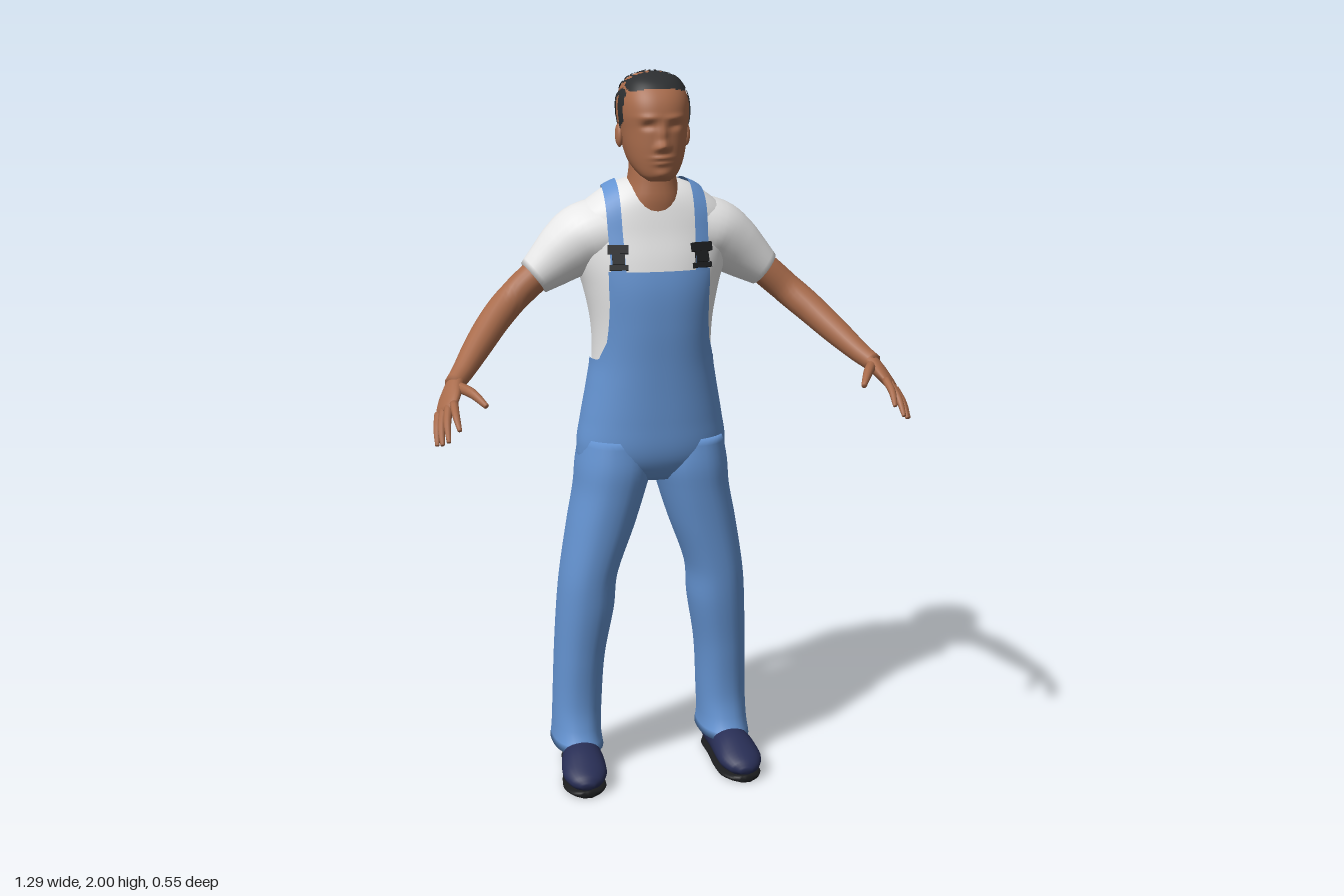
import * as THREE from 'three';

const mat = (name, color) => Object.assign(new THREE.MeshStandardMaterial({ color }), { name });
const V = (x, y, z) => new THREE.Vector3(x, y, z);

// Smooth interpolation of table rows [key, a, b, ...] at a key.
function sample(rows, k) {
  const n = rows.length - 1;
  k = Math.min(Math.max(k, rows[0][0]), rows[n][0]);
  let i = 0;
  while (i < n - 1 && k > rows[i + 1][0]) i++;
  const h = rows[i + 1][0] - rows[i][0], t = (k - rows[i][0]) / h;
  const slope = (j, c) => {
    const a = rows[Math.max(j - 1, 0)], b = rows[Math.min(j + 1, n)];
    return (b[c] - a[c]) / (b[0] - a[0]);
  };
  return rows[i].slice(1).map((v, q) => {
    const c = q + 1, t2 = t * t, t3 = t2 * t;
    return v * (2 * t3 - 3 * t2 + 1) + rows[i + 1][c] * (3 * t2 - 2 * t3) +
      h * (slope(i, c) * (t3 - 2 * t2 + t) + slope(i + 1, c) * (t3 - t2));
  });
}

// Skin a list of closed rings; optional caps and a face filter on the quad centre.
function loft(rings, { bottom = true, top = true, keep } = {}) {
  const m = rings[0].length, pos = [], idx = [];
  rings.forEach(r => r.forEach(p => pos.push(p.x, p.y, p.z)));
  for (let i = 0; i < rings.length - 1; i++) for (let j = 0; j < m; j++) {
    const k = (j + 1) % m, a = i * m + j, b = i * m + k, c = b + m, d = a + m;
    if (keep && !keep(rings[i][j].clone().add(rings[i + 1][k]).multiplyScalar(0.5))) continue;
    idx.push(a, b, c, a, c, d);
  }
  const cap = (r, up) => {
    const c = r.reduce((s, p) => s.add(p), V(0, 0, 0)).divideScalar(m), o = pos.length / 3;
    const base = up ? (rings.length - 1) * m : 0;
    pos.push(c.x, c.y, c.z);
    for (let j = 0; j < m; j++) {
      const k = (j + 1) % m;
      idx.push(o, base + (up ? j : k), base + (up ? k : j));
    }
  };
  if (bottom) cap(rings[0], false);
  if (top) cap(rings[rings.length - 1], true);
  return finish(pos, idx);
}
function finish(pos, idx) {
  const g = new THREE.BufferGeometry();
  g.setAttribute('position', new THREE.Float32BufferAttribute(pos, 3));
  g.setIndex(idx);
  g.computeVertexNormals();
  return g;
}
function mirrored(geo) {
  const g = geo.clone().scale(-1, 1, 1), a = g.index.array;
  for (let i = 0; i < a.length; i += 3) [a[i], a[i + 1]] = [a[i + 1], a[i]];
  g.computeVertexNormals();
  return g;
}

// Point on a horizontal superellipse section.
const POW = 2.3;
function section(xc, w, front, back, th, y) {
  const f = v => Math.sign(v) * Math.abs(v) ** (2 / POW);
  return V(xc + w * f(Math.sin(th)), y, (front + back) / 2 + (front - back) / 2 * f(Math.cos(th)));
}
const around = (m, fn) => Array.from({ length: m }, (_, j) => fn(j / m * Math.PI * 2));
const levels = (n, a, b) => Array.from({ length: n + 1 }, (_, i) => a + (b - a) * i / n);

// Tube through stations [x, y, z, radius along ref, radius across].
function limb(st, ref = V(0, 1, 0), m = 20, sub = 4) {
  const curve = new THREE.CatmullRomCurve3(st.map(s => V(s[0], s[1], s[2])));
  const rad = st.map((s, i) => [i, s[3], s[4] ?? s[3]]), n = st.length - 1;
  return loft(levels(n * sub, 0, 1).map(t => {
    const c = curve.getPoint(t), d = curve.getTangent(t), [a, b] = sample(rad, t * n);
    const u = ref.clone().addScaledVector(d, -ref.dot(d)).normalize(), v = d.clone().cross(u);
    return around(m, th => c.clone().addScaledVector(u, a * Math.cos(th)).addScaledVector(v, b * Math.sin(th)));
  }));
}

// Body profiles: [height, half width, front z, back z]
const TORSO = [[0.88, 0.10, -0.03, -0.19], [0.92, 0.19, 0.005, -0.238], [0.97, 0.204, 0.022, -0.246], [1.05, 0.193, 0.026, -0.246],
  [1.15, 0.175, 0.028, -0.24], [1.22, 0.165, 0.03, -0.24], [1.32, 0.168, 0.034, -0.25], [1.42, 0.188, 0.032, -0.266],
  [1.50, 0.213, 0.018, -0.271], [1.57, 0.225, -0.002, -0.26], [1.62, 0.212, -0.014, -0.245], [1.66, 0.165, -0.026, -0.225],
  [1.69, 0.12, -0.045, -0.20], [1.71, 0.07, -0.07, -0.17]];
const LEG = [[0.08, 0.073, -0.005, -0.26, 0.218], [0.12, 0.069, -0.03, -0.245, 0.218], [0.2, 0.069, -0.045, -0.235, 0.215],
  [0.35, 0.071, -0.032, -0.232, 0.208], [0.5, 0.08, -0.01, -0.226, 0.192], [0.6, 0.08, 0, -0.222, 0.183],
  [0.75, 0.094, 0.012, -0.235, 0.145], [0.85, 0.1, 0.02, -0.248, 0.12], [0.92, 0.106, 0.024, -0.25, 0.108], [1.0, 0.095, 0.015, -0.24, 0.105]];
const NECK = [[1.60, 0.085, -0.02, -0.2], [1.66, 0.08, -0.015, -0.19], [1.70, 0.068, -0.02, -0.175], [1.74, 0.062, -0.025, -0.165], [1.79, 0.06, -0.04, -0.16]];
const HEAD = [[1.715, 0.03, 0.015, -0.03], [1.73, 0.05, 0.027, -0.075], [1.76, 0.07, 0.033, -0.14], [1.80, 0.082, 0.035, -0.175],
  [1.85, 0.09, 0.034, -0.2], [1.89, 0.095, 0.034, -0.208], [1.93, 0.092, 0.022, -0.203], [1.965, 0.077, -0.005, -0.182],
  [1.985, 0.055, -0.035, -0.15], [1.997, 0.02, -0.07, -0.11]];
// Face relief: [x, y, depth, x spread, y spread]
const FACE = [[0, 1.81, 0.02, 0.013, 0.013], [0, 1.84, 0.012, 0.011, 0.025], [0.036, 1.862, -0.009, 0.017, 0.01], [0.035, 1.884, 0.005, 0.025, 0.008],
  [0.013, 1.804, 0.007, 0.008, 0.008], [0, 1.779, 0.008, 0.024, 0.006], [0, 1.764, 0.006, 0.02, 0.006], [0, 1.735, 0.006, 0.02, 0.012]];

const body = (rows, th, y, grow = 0) => {
  const [w, f, b, xc = 0] = sample(rows, y);
  return section(xc, w + grow, f + grow, b - grow, th, y);
};
function headPoint(th, y, grow = 0) {
  const p = body(HEAD, th, y, grow);
  if (p.z > -0.04) for (const [x, fy, d, sx, sy] of FACE)
    p.z += d * Math.exp(-(((Math.abs(p.x) - x) / sx) ** 2) - ((y - fy) / sy) ** 2);
  return p;
}
// Distance from an inner point of the trunk to its surface along (0, sin, cos).
function trunkHit(x, phi, y0 = 1.47, z0 = -0.12) {
  let lo = 0, hi = 0.4;
  for (let i = 0; i < 30; i++) {
    const r = (lo + hi) / 2, y = y0 + r * Math.sin(phi), z = z0 + r * Math.cos(phi);
    const [w, f, b] = sample(TORSO, y);
    const e = Math.abs(x / w) ** POW + Math.abs((z - (f + b) / 2) / ((f - b) / 2)) ** POW;
    if (y > 1.71 || e > 1) hi = r; else lo = r;
  }
  return V(x, y0 + (lo + 0.008) * Math.sin(phi), z0 + (lo + 0.008) * Math.cos(phi));
}

export function createModel() {
  const model = new THREE.Group();
  const skin = mat('skin', 0xa86b4b), shirt = mat('shirt white', 0xe6e6e6), denim = mat('overall blue', 0x6594d2);
  const hairMat = mat('hair black', 0x2c2e30), shoeMat = mat('shoe navy', 0x282e55), black = mat('black', 0x1b1c1e);
  const strapMat = mat('strap blue', 0x6594d2);
  strapMat.side = hairMat.side = THREE.DoubleSide;
  const add = (name, geo, m) => {
    const mesh = new THREE.Mesh(geo, m);
    mesh.name = name;
    model.add(mesh);
  };
  const pair = (name, geo, m) => {
    add(name + 'Left', geo, m);
    add(name + 'Right', mirrored(geo), m);
  };

  // Head, ears and neck
  add('head', loft(levels(70, 1.715, 1.997).map(y => around(72, th => headPoint(th, y)))), skin);
  add('neck', loft(levels(12, 1.6, 1.79).map(y => around(32, th => body(NECK, th, y)))), skin);
  pair('ear', new THREE.SphereGeometry(1, 14, 10).scale(0.011, 0.032, 0.019).rotateX(-0.2).translate(0.092, 1.83, -0.085), skin);

  // Cropped hair: solid patches with thin combed streaks between
  const hairy = p => {
    const wave = Math.sin(p.z * 70) * 0.006;
    if (p.z < -0.14 && p.y > 1.765 && p.y < 1.91 + wave) return true;
    if (p.z > -0.08 + wave && p.z < -0.035 && p.y > 1.87 - (p.z + 0.035) * -0.6 && p.y < 1.945) return true;
    if (p.y > 1.955 + wave && p.z > -0.065 && p.z < 0.02) return true;
    if (p.y > 1.955 && p.z < -0.125 && p.z > -0.165 && p.x > -0.03) return true;
    return p.y > 1.9 && p.z < -0.04 && Math.sin(p.x * 400 + 2 * Math.sin(p.z * 40)) > 0.45;
  };
  add('hair', loft(levels(70, 1.75, 1.997).map(y => around(110, th => headPoint(th, y, 0.003).add(V(0, 0.002, 0)))),
    { bottom: false, top: false, keep: hairy }), hairMat);

  // Shirt trunk and sleeves
  add('shirt', loft(levels(40, 1.1, 1.71).map(y => around(64, th => body(TORSO, th, y)))), shirt);
  pair('sleeve', limb([[0.11, 1.565, -0.13, 0.1, 0.115], [0.18, 1.55, -0.13, 0.096, 0.108], [0.23, 1.52, -0.126, 0.086, 0.088],
    [0.28, 1.482, -0.121, 0.069, 0.066], [0.325, 1.447, -0.118, 0.052, 0.051]], V(0, 1, 0), 28), shirt);

  // Arms, palms and fingers
  pair('arm', limb([[0.28, 1.482, -0.12, 0.044], [0.33, 1.443, -0.118, 0.044], [0.39, 1.39, -0.108, 0.043], [0.44, 1.345, -0.07, 0.042],
    [0.5, 1.285, 0, 0.037], [0.55, 1.235, 0.07, 0.029], [0.578, 1.212, 0.108, 0.025]]), skin);
  pair('palm', limb([[0.565, 1.222, 0.09, 0.024, 0.022], [0.58, 1.205, 0.115, 0.031, 0.02], [0.594, 1.183, 0.145, 0.038, 0.017],
    [0.605, 1.165, 0.17, 0.036, 0.013], [0.608, 1.158, 0.178, 0.028, 0.008]], V(-0.6, 0.5, 0.4)), skin);
  const fingers = [
    ['little', [0.624, 1.148, 0.156], [0.634, 1.118, 0.198], [0.638, 1.084, 0.23]],
    ['ring', [0.612, 1.159, 0.166], [0.624, 1.126, 0.213], [0.627, 1.09, 0.251]],
    ['middle', [0.6, 1.17, 0.176], [0.61, 1.138, 0.225], [0.612, 1.1, 0.265]],
    ['index', [0.587, 1.181, 0.184], [0.588, 1.16, 0.232], [0.584, 1.13, 0.27]],
    ['thumb', [0.568, 1.21, 0.12], [0.537, 1.203, 0.178], [0.509, 1.18, 0.228]]];
  for (const [name, a, b, c] of fingers) {
    const r = name === 'thumb' ? 0.015 : 0.0115;
    pair(name + 'Finger', limb([[...a, r], [...b, r * 0.85], [...c, r * 0.5]], V(0, 1, 0), 10), skin);
  }

  // Overalls: bib shell whose top edge dips at the sides and rises at the back
  const EDGE = [[0, 1.475], [0.69, 1.475], [0.78, 1.39], [0.95, 1.28], [1.2, 1.225], [1.9, 1.215], [2.3, 1.25], [2.6, 1.33], [2.85, 1.42], [3.15, 1.49]];
  const edge = th => {
    const a = Math.min(th, Math.PI * 2 - th), i = Math.max(1, EDGE.findIndex(e => e[0] >= a)), [p, q] = [EDGE[i - 1], EDGE[i]];
    return p[1] + (q[1] - p[1]) * (a - p[0]) / (q[0] - p[0]);
  };
  add('bibOveralls', loft(levels(44, 0, 1).map(v => around(112, th => body(TORSO, th, 0.88 + (edge(th) - 0.88) * v, 0.006))),
    { top: false }), denim);
  pair('trouserLeg', loft(levels(48, 0.08, 1.0).map(y => around(36, th => body(LEG, th, y)))), denim);

  // Shoulder straps laid over the trunk
  const STRAP = [[0, 0.115], [1.2, 0.12], [1.6, 0.115], [2.2, 0.09], [2.8, 0.05], [3.14, 0.02]];
  const pos = [], idx = [];
  levels(48, 0, 3.14).forEach((phi, i) => {
    const [x] = sample(STRAP, phi);
    for (let k = -2; k <= 2; k++) pos.push(...trunkHit(x + k * 0.0095, phi).toArray());
    if (i) for (let k = 0; k < 4; k++) {
      const a = (i - 1) * 5 + k, d = i * 5 + k;
      idx.push(a, a + 1, d + 1, a, d + 1, d);
    }
  });
  pair('strap', finish(pos, idx), strapMat);

  // Strap buckles
  for (const [w, h, y] of [[0.056, 0.024, 1.535], [0.034, 0.03, 1.51], [0.05, 0.014, 1.487]]) {
    const z = trunkHit(0.115, 0, y).z;
    pair('buckle', new THREE.BoxGeometry(w, h, 0.016).rotateX(-0.3).rotateY(0.2).translate(0.115, y, z + 0.002), black);
  }

  // Shoes with flat soles
  const SHOE = [[0.21, 0.05, -0.22, 0.03, 0.028], [0.212, 0.055, -0.18, 0.045, 0.045], [0.215, 0.06, -0.1, 0.052, 0.048],
    [0.222, 0.06, -0.02, 0.05, 0.06], [0.228, 0.047, 0.05, 0.035, 0.062], [0.23, 0.037, 0.09, 0.024, 0.043], [0.23, 0.032, 0.107, 0.01, 0.018]];
  const flatten = (g, floor) => {
    const p = g.attributes.position;
    for (let i = 0; i < p.count; i++) p.setY(i, Math.max(p.getY(i), floor));
    g.computeVertexNormals();
    return g;
  };
  pair('shoe', flatten(limb(SHOE, V(0, 1, 0), 24), 0.012), shoeMat);
  pair('sole', flatten(limb(SHOE.map(([x, , z, , w]) => [x, 0.008, z, 0.012, w * 0.97]), V(0, 1, 0), 24), 0), black);
  return model;
}
